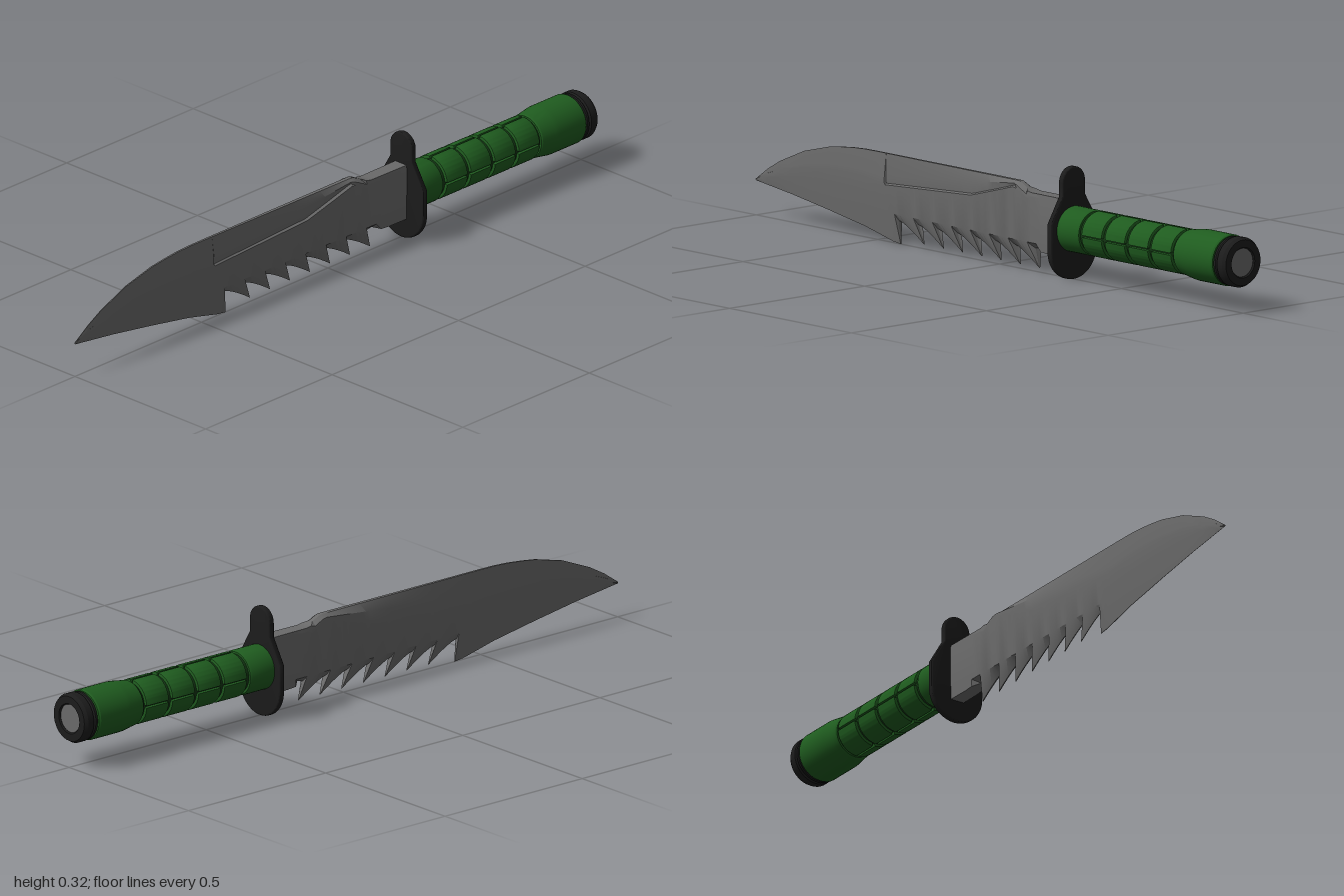
import * as THREE from 'three';
import { toCreasedNormals } from 'three/addons/utils/BufferGeometryUtils.js';

const AXIS_Y = 0.146; // height of the grip axis
const steel = new THREE.MeshStandardMaterial({ color: 0x6a6a6a, side: THREE.DoubleSide });
const black = new THREE.MeshStandardMaterial({ color: 0x1c1c1c });
const green = new THREE.MeshStandardMaterial({ color: 0x1f5c1f });
const darkGreen = new THREE.MeshStandardMaterial({ color: 0x123512 });

// Piecewise linear curve through [z, value] pairs sorted by falling z
function along(pairs, z) {
  for (let i = 1; i < pairs.length; i++) {
    const [z0, v0] = pairs[i - 1], [z1, v1] = pairs[i];
    if (z >= z1) return THREE.MathUtils.lerp(v0, v1, THREE.MathUtils.clamp((z0 - z) / (z0 - z1), 0, 1));
  }
  return pairs[pairs.length - 1][1];
}

const SPINE = [[1, 0.107], [0.95, 0.142], [0.9, 0.17], [0.8, 0.212], [0.7, 0.237], [0.62, 0.248],
  [0.54, 0.252], [-0.09, 0.251], [-0.14, 0.228], [-0.3, 0.228]];
const EDGE = [[1, 0.102], [0.85, 0.083], [0.7, 0.06], [0.55, 0.035], [0.42, 0.005]];
const GROOVE_LOW = [[0.46, 0.165], [0.1, 0.186], [0, 0.213], [-0.09, 0.238]];
const GROOVE_HIGH = [[0.46, 0.187], [-0.09, 0.245]];

// Blade columns from tip to guard: z, lower edge height, backward lean of the edge
function bladeColumns() {
  const cols = [1, 0.975, 0.95, 0.9, 0.85, 0.8, 0.75, 0.7, 0.65, 0.6, 0.55, 0.5, 0.462, 0.458, 0.435]
    .map(z => ({ z, y: along(EDGE, z), lean: 0 }));
  cols.push({ z: 0.42, y: 0.005, lean: 0.015 });
  const pitch = 0.079;
  for (let t = 0; t < 7; t++) { // hooked saw teeth
    const start = 0.412 - t * pitch;
    for (const f of [0, 0.2, 0.4, 0.6, 0.8, 1]) {
      const drop = 0.053 * Math.pow(f, 1.5);
      cols.push({ z: start - f * (pitch - 0.008), y: 0.07 - drop, lean: drop * 0.6 });
    }
  }
  for (const [z, y] of [[-0.15, 0.07], [-0.17, 0.074], [-0.19, 0.067], [-0.22, 0.065], [-0.3, 0.065]])
    cols.push({ z, y, lean: 0 });
  return cols;
}

function bladeGeometry() {
  const cols = bladeColumns(), pos = [], idx = [];
  for (const { z, y, lean } of cols) {
    const top = along(SPINE, z), ricasso = z < -0.18;
    const half = THREE.MathUtils.mapLinear(z, -0.3, 1, 0.024, 0.0025);
    const grooved = z < 0.46 && z > -0.09;
    const at = f => THREE.MathUtils.lerp(y, top, f);
    const low = grooved ? along(GROOVE_LOW, z) : at(z > 0 ? 0.64 : 0.9);
    const high = grooved ? along(GROOVE_HIGH, z) : at(z > 0 ? 0.73 : 0.95);
    const bevel = z > 0.43 ? at(0.45) : 0.088;
    const edgeW = ricasso ? 0.9 : 0.07, spineW = z < -0.12 ? 0.9 : 0.3;
    // rows: height, right-hand width, left-hand width
    const rows = [
      [y, edgeW, edgeW], [bevel, 0.92, 0.92], [low, 1, 1],
      [Math.min(low + 0.004, high), grooved ? 0.6 : 1, 1],
      [high, grooved ? 0.7 : 0.95, 0.95], [top, spineW, spineW],
    ];
    rows.forEach((r, i) => pos.push(r[1] * half, r[0], z - (i ? 0 : lean)));
    [...rows].reverse().forEach((r, i) => pos.push(-r[2] * half, r[0], z - (i < 5 ? 0 : lean)));
  }
  const n = 12;
  for (let c = 0; c < cols.length - 1; c++)
    for (let j = 0; j < n; j++) {
      const a = c * n + j, b = c * n + (j + 1) % n;
      idx.push(a, a + n, b, b, a + n, b + n);
    }
  for (let j = 1; j < n - 1; j++) idx.push(0, j, j + 1); // close the point
  const g = new THREE.BufferGeometry();
  g.setAttribute('position', new THREE.Float32BufferAttribute(pos, 3));
  g.setIndex(idx);
  return toCreasedNormals(g, 0.45);
}

// Rounded hand guard plate
function guardGeometry() {
  const s = new THREE.Shape(), b = 0.004;
  s.moveTo(0.085 - b, 0.092);
  s.lineTo(0.085 - b, 0.165);
  s.lineTo(0.042 - b, 0.238);
  s.lineTo(0.042 - b, 0.278);
  s.absarc(0, 0.278, 0.042 - b, 0, Math.PI, false);
  s.lineTo(-0.042 + b, 0.238);
  s.lineTo(-0.085 + b, 0.165);
  s.lineTo(-0.085 + b, 0.092);
  s.absarc(0, 0.09, 0.085 - b, Math.PI, Math.PI * 2, false);
  const g = new THREE.ExtrudeGeometry(s, { depth: 0.01, bevelSize: b, bevelThickness: b, bevelSegments: 3, curveSegments: 24 });
  return toCreasedNormals(g.translate(0, 0, -0.302), 0.6);
}

// Turned part on the grip axis from [radius, z] pairs, running backwards
function turned(pairs) {
  const g = new THREE.LatheGeometry(pairs.map(([r, z]) => new THREE.Vector2(r, -z)), 40);
  return toCreasedNormals(g.rotateX(-Math.PI / 2).translate(0, AXIS_Y, 0), 0.5);
}

// Quarter-round grip pad with softened edges
function padGeometry(length) {
  const b = 0.004, gap = 0.11, s = new THREE.Shape();
  s.absarc(0, 0, 0.064 - b, gap, Math.PI / 2 - gap, false);
  s.absarc(0, 0, 0.046, Math.PI / 2 - gap, gap, true);
  s.closePath();
  const g = new THREE.ExtrudeGeometry(s, { depth: length - 2 * b, bevelSize: b, bevelThickness: b, bevelSegments: 2, curveSegments: 10 });
  return toCreasedNormals(g.translate(0, 0, b), 0.6);
}

export function createModel() {
  const model = new THREE.Group();
  const add = (name, geometry, material, parent = model) => {
    const m = new THREE.Mesh(geometry, material);
    m.name = name;
    parent.add(m);
    return m;
  };

  add('blade', bladeGeometry(), steel);
  add('guard', guardGeometry(), black);

  // Grip: inner core, front collar, four rows of pads, flared rear
  const grip = new THREE.Group();
  grip.name = 'grip';
  model.add(grip);
  add('gripCore', turned([[0.055, -0.3], [0.055, -0.8]]), darkGreen, grip);
  add('frontCollar', turned([[0.05, -0.305], [0.064, -0.305], [0.064, -0.386], [0.061, -0.392], [0.05, -0.392]]), green, grip);
  const pad = padGeometry(0.083);
  for (let row = 0; row < 4; row++)
    for (let q = 0; q < 4; q++) {
      const m = add('gripPad', pad, green, grip);
      m.position.set(0, AXIS_Y, -0.488 - row * 0.095);
      m.rotation.z = q * Math.PI / 2;
    }
  add('rearFlare', turned([[0.05, -0.781], [0.061, -0.781], [0.064, -0.785], [0.066, -0.8], [0.071, -0.832],
    [0.072, -0.845], [0.072, -0.945], [0.069, -0.95], [0.05, -0.95]]), green, grip);

  // Pommel cap with a groove and a recessed end plate
  add('pommelCap', turned([[0.06, -0.948], [0.064, -0.952], [0.069, -0.955], [0.069, -0.962], [0.065, -0.966],
    [0.07, -0.97], [0.07, -0.99], [0.064, -1], [0.043, -1], [0.04, -0.996], [0.04, -0.985]]), black);
  add('pommelPlate', turned([[0.041, -0.98], [0.041, -0.995], [0, -0.995]]), steel);

  return model;
}
